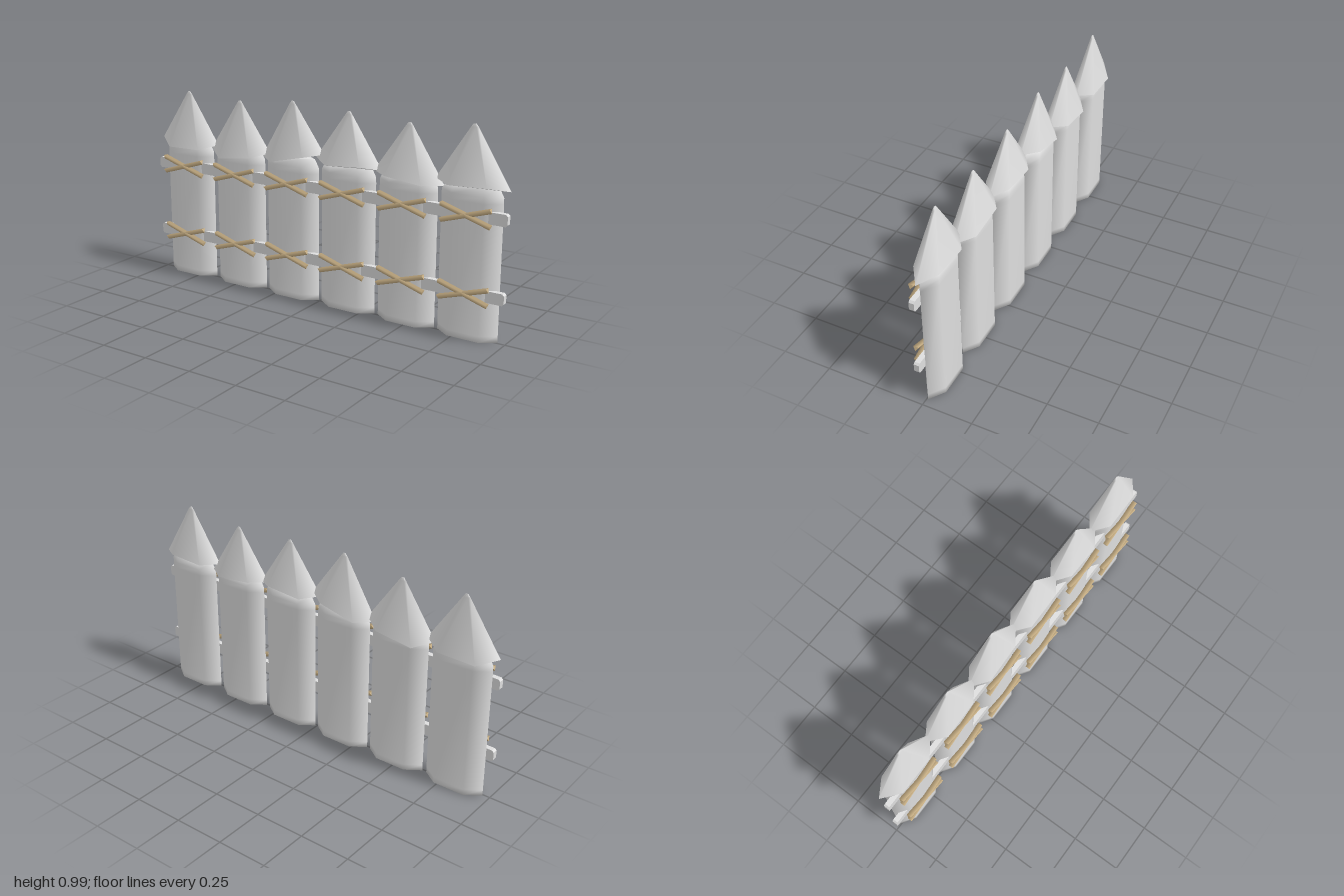
import * as THREE from 'three';

const wood = new THREE.MeshStandardMaterial({ color: 0xdedede });
wood.name = 'greyWood';
const cord = new THREE.MeshStandardMaterial({ color: 0xccb388 });
cord.name = 'tanLashing';

// Flattened hexagon, pointed towards +x and -x
const HEX = [[1, 0], [0.52, 1], [-0.52, 1], [-1, 0], [-0.52, -1], [0.52, -1]];
const ring = (rx, rz, y) => HEX.map(([x, z]) => [x * rx, y, z * rz]);

// Closed smooth solid through six-point rings, listed bottom to top.
// A doubled ring gives a crisp edge there.
function loft(rings) {
  const n = 6, index = [];
  for (let r = 0; r < rings.length - 1; r++) {
    for (let i = 0; i < n; i++) {
      const a = r * n + i, b = r * n + (i + 1) % n;
      index.push(a, a + n, b, b, a + n, b + n);
    }
  }
  const top = (rings.length - 1) * n;
  for (let i = 1; i < n - 1; i++) {
    index.push(0, i, i + 1, top, top + i + 1, top + i);
  }
  const g = new THREE.BufferGeometry();
  g.setAttribute('position', new THREE.Float32BufferAttribute(rings.flat(2), 3));
  g.setIndex(index);
  g.computeVertexNormals();
  return g;
}

// Stakes: centre x, apex height, cap rim heights (left tip, left side, right side, right tip)
const STAKES = [
  [-0.813, 0.977, [0.72, 0.685, 0.69, 0.715]],
  [-0.485, 0.962, [0.70, 0.665, 0.69, 0.715]],
  [-0.162, 0.993, [0.70, 0.69, 0.735, 0.75]],
  [0.16, 0.977, [0.735, 0.715, 0.73, 0.715]],
  [0.485, 0.962, [0.715, 0.71, 0.69, 0.69]],
  [0.808, 0.992, [0.725, 0.715, 0.725, 0.71]],
];
const RAIL_Y = [0.222, 0.588];

export function createModel() {
  const group = new THREE.Group();
  const add = (name, geometry, material, x, y, z) => {
    const mesh = new THREE.Mesh(geometry, material);
    mesh.name = name;
    mesh.position.set(x, y, z);
    group.add(mesh);
    return mesh;
  };

  // Stake body with a soft foot and shoulders
  const body = loft([
    ring(0.153, 0.0505, 0), ring(0.153, 0.0505, 0.03),
    ring(0.153, 0.0505, 0.65), ring(0.152, 0.05, 0.68), ring(0.13, 0.044, 0.72),
  ]);

  // Lashing stick along x: three-sided, flat on top with its ridge below
  const stick = new THREE.CylinderGeometry(0.0144, 0.0144, 0.258, 3, 1, false, -Math.PI / 2);
  stick.rotateZ(Math.PI / 2);

  STAKES.forEach(([x, apex, [l, ls, rs, r]]) => {
    add('stakeBody', body, wood, x, 0, -0.0075);

    // pointed cap with a tilted rim
    const rimY = [r, rs, ls, l, ls, rs];
    const rim = HEX.map(([hx, hz], i) => [hx * 0.185, rimY[i], hz * 0.062]);
    const tip = [ring(0.018, 0.006, apex - 0.014), ring(0.007, 0.0024, apex)];
    add('stakeCap', loft([rim, rim, ...tip]), wood, x, 0, -0.0075);

    // crossed sticks over each rail
    for (const y of RAIL_Y) {
      for (const s of [1, -1]) {
        add('lashing', stick, cord, x, y + 0.006, 0.0585).rotation.z = s * 0.3;
      }
    }
  });

  // Rails with clipped corners
  const w = 0.998, h = 0.028, c = 0.009;
  const outline = new THREE.Shape([
    [-w + c, -h], [w - c, -h], [w, -h + c], [w, h - c],
    [w - c, h], [-w + c, h], [-w, h - c], [-w, -h + c],
  ].map(p => new THREE.Vector2(...p)));
  const rail = new THREE.ExtrudeGeometry(outline, { depth: 0.026, bevelEnabled: false });
  RAIL_Y.forEach(y => add('rail', rail, wood, 0, y, 0.004));

  return group;
}
